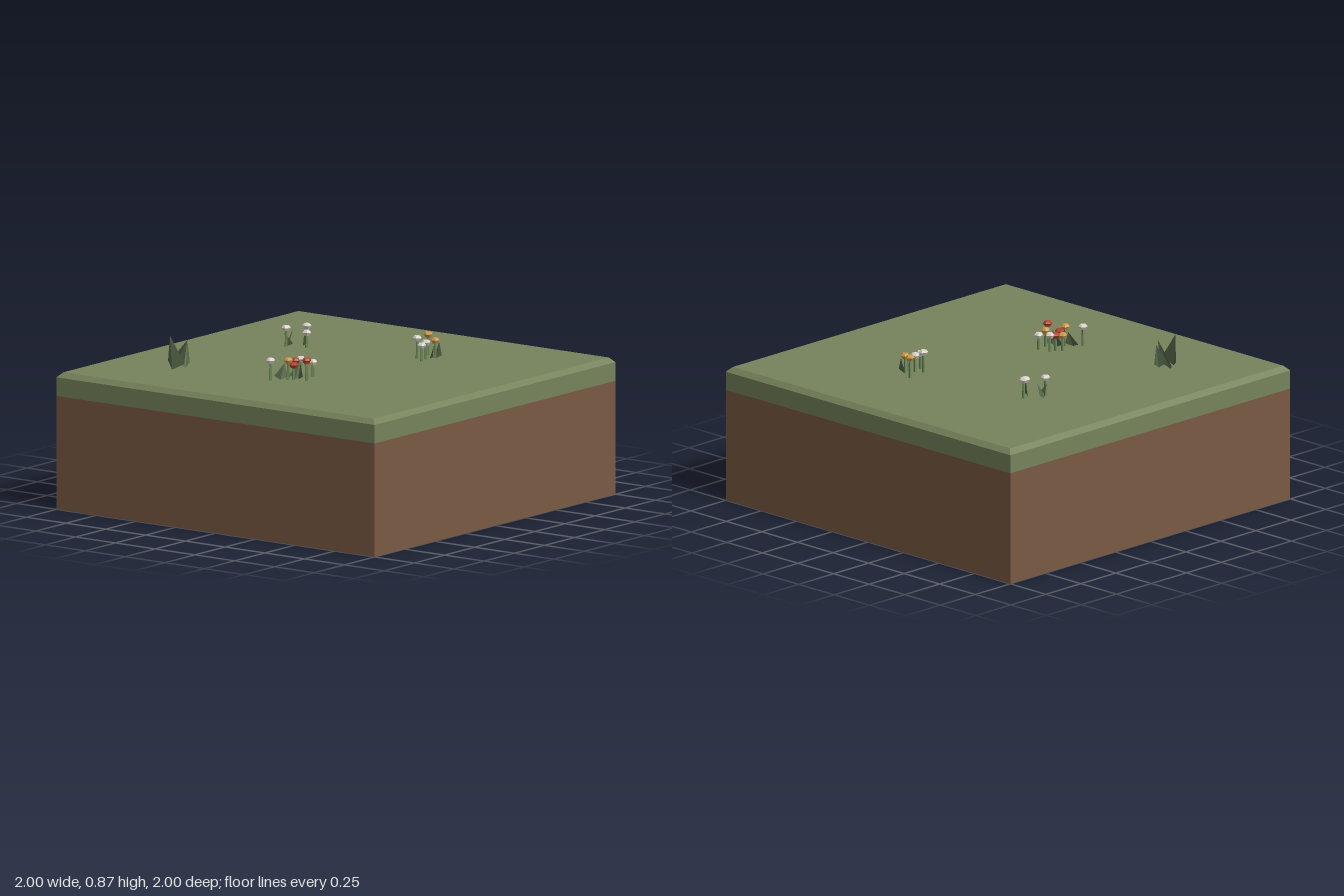
import * as THREE from 'three';

const GROUND = 0.7;
const paint = (color) => new THREE.MeshStandardMaterial({ color, flatShading: true, side: THREE.DoubleSide });
const mats = {
  soil: paint(0x7a5a44), grass: paint(0x76835c), stem: paint(0x6f8a58), leaf: paint(0x56694a),
  white: paint(0xd8d4c8), orange: paint(0xd09a48), red: paint(0xb5402f),
};

function add(parent, name, geometry, material, x = 0, y = 0, z = 0) {
  const mesh = new THREE.Mesh(geometry, material);
  mesh.name = name;
  mesh.position.set(x, y, z);
  parent.add(mesh);
  return mesh;
}

// Square slab lid whose top edge is drawn in for the bevel
function bevelGeometry(height, inset) {
  const g = new THREE.BoxGeometry(2, height, 2);
  const p = g.attributes.position;
  for (let i = 0; i < p.count; i++) {
    if (p.getY(i) > 0) p.setXYZ(i, p.getX(i) * (1 - inset), p.getY(i), p.getZ(i) * (1 - inset));
  }
  g.computeVertexNormals();
  return g;
}

// Folded, pointed leaf: two shoulders, a crease at the root, one tip
function addLeaf(parent, [x, z, width, angle, tipX, tipY, tipZ]) {
  const dx = Math.cos(angle) * width / 2, dz = Math.sin(angle) * width / 2;
  const shoulder = GROUND + (tipY - GROUND) * 0.2;
  const root = [x - dz * 0.5, GROUND, z + dx * 0.5];
  const left = [x - dx, shoulder, z - dz], right = [x + dx, shoulder, z + dz];
  const tip = [tipX, tipY, tipZ];
  const g = new THREE.BufferGeometry();
  g.setAttribute('position', new THREE.Float32BufferAttribute(
    [...root, ...right, ...tip, ...root, ...tip, ...left], 3));
  g.computeVertexNormals();
  add(parent, 'leaf', g, mats.leaf);
}

// Thin stem with a faceted, puck-like blossom
function addFlower(parent, [x, z, top, color], i) {
  const flower = new THREE.Group();
  flower.name = 'flower';
  const h = top - GROUND - 0.015;
  add(flower, 'stem', new THREE.CylinderGeometry(0.006, 0.008, h, 5), mats.stem, 0, h / 2, 0);
  const r = 0.024;
  const profile = [[0, -0.014], [r * 0.6, -0.014], [r, 0.002], [r * 0.65, 0.013], [0, 0.015]];
  const head = add(flower, 'blossom', new THREE.LatheGeometry(profile.map(([a, b]) => new THREE.Vector2(a, b)), 6),
    mats[color], 0, h, 0);
  head.rotation.y = i * 0.7;
  flower.position.set(x, GROUND, z);
  parent.add(flower);
}

// flowers: x, z, top, color; leaves: x, z, width, angle, tip x, y, z
const patches = [
  {
    name: 'backLeftFlowerPatch',
    flowers: [[-0.43, -0.325, 0.81, 'white'], [-0.385, -0.265, 0.79, 'white'], [-0.48, -0.22, 0.81, 'white']],
    leaves: [[-0.495, -0.26, 0.05, 1.2, -0.49, 0.78, -0.29], [-0.48, -0.25, 0.05, 0.2, -0.5, 0.77, -0.23],
      [-0.42, -0.3, 0.05, 0.5, -0.43, 0.79, -0.31]],
  },
  {
    name: 'backRightFlowerPatch',
    flowers: [[0.215, -0.48, 0.82, 'orange'], [0.29, -0.44, 0.805, 'orange'], [0.23, -0.37, 0.82, 'white'],
      [0.27, -0.39, 0.8, 'white'], [0.285, -0.335, 0.795, 'white']],
    leaves: [[0.3, -0.455, 0.05, 0.2, 0.3, 0.78, -0.46], [0.29, -0.42, 0.06, 0.9, 0.305, 0.77, -0.41]],
  },
  {
    name: 'frontFlowerPatch',
    flowers: [[0.025, 0.325, 0.8, 'white'], [0.09, 0.31, 0.79, 'white'], [0.015, 0.355, 0.795, 'red'],
      [-0.01, 0.38, 0.795, 'orange'], [0.1, 0.37, 0.8, 'orange'], [0.13, 0.415, 0.82, 'red'],
      [0.06, 0.43, 0.79, 'red'], [0.04, 0.45, 0.815, 'orange'], [-0.025, 0.51, 0.815, 'white']],
    leaves: [[0.05, 0.4, 0.06, -0.5, 0.06, 0.79, 0.38], [0, 0.455, 0.07, -0.4, 0.01, 0.78, 0.44],
      [0.075, 0.39, 0.06, 0.6, 0.08, 0.78, 0.4], [0.04, 0.43, 0.05, 1, 0.03, 0.78, 0.44]],
  },
  {
    name: 'grassTuft',
    flowers: [],
    leaves: [[-0.575, 0.565, 0.12, 0.15, -0.605, 0.87, 0.58], [-0.605, 0.515, 0.1, 0.2, -0.54, 0.845, 0.52],
      [-0.57, 0.51, 0.07, -1.2, -0.57, 0.83, 0.48]],
  },
];

export function createModel() {
  const model = new THREE.Group();
  model.name = 'gardenTile';

  // Ground block
  add(model, 'soil', new THREE.BoxGeometry(2, 0.58, 2), mats.soil, 0, 0.29, 0);
  add(model, 'grassLayer', new THREE.BoxGeometry(2, 0.095, 2), mats.grass, 0, 0.6275, 0);
  add(model, 'grassBevel', bevelGeometry(0.025, 0.025), mats.grass, 0, 0.6875, 0);

  // Planting
  for (const { name, flowers, leaves } of patches) {
    const patch = new THREE.Group();
    patch.name = name;
    flowers.forEach((f, i) => addFlower(patch, f, i));
    leaves.forEach((l) => addLeaf(patch, l));
    model.add(patch);
  }
  return model;
}
